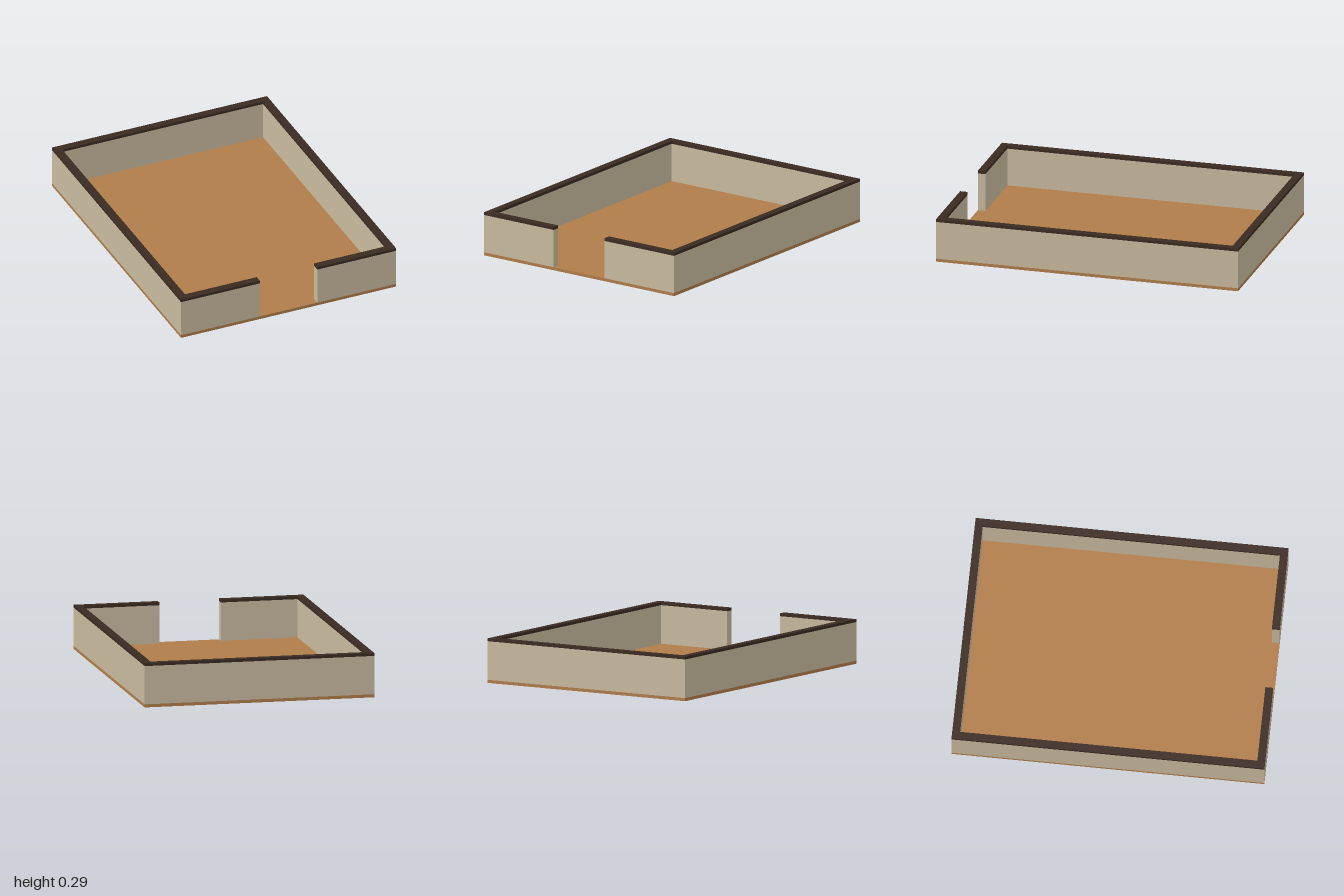
import * as THREE from 'three';

const W = 0.75, D = 1, T = 0.05, GAP = 0.2; // half width, half depth, wall thickness, half doorway
const FLOOR = 0.02, WALL = 0.268, TOP = 0.286; // heights of the layers

const material = (name, color) => {
  const m = new THREE.MeshStandardMaterial({ color });
  m.name = name;
  return m;
};

// Wall outline seen from above, open at the doorway, raised from y0 to y1
function wallRing(name, y0, y1, mat) {
  const right = [[GAP, D], [W, D], [W, -D]];
  const inner = [[W - T, -D + T], [W - T, D - T], [GAP, D - T]];
  const mirror = (pts) => pts.map(([x, z]) => [-x, z]).reverse();
  const outline = [...right, ...mirror(right), ...mirror(inner), ...inner];
  const shape = new THREE.Shape(outline.map(([x, z]) => new THREE.Vector2(x, -z)));
  const geo = new THREE.ExtrudeGeometry(shape, { depth: y1 - y0, bevelEnabled: false });
  geo.rotateX(-Math.PI / 2).translate(0, y0, 0);
  const mesh = new THREE.Mesh(geo, mat);
  mesh.name = name;
  return mesh;
}

export function createModel() {
  const group = new THREE.Group();
  group.name = 'walledRoom';

  // Floor slab under the whole room
  const floor = new THREE.Mesh(
    new THREE.BoxGeometry(2 * W, FLOOR, 2 * D).translate(0, FLOOR / 2, 0),
    material('wood floor', 0xb17d4a));
  floor.name = 'floor';

  // Walls and the dark trim on top of them
  group.add(
    floor,
    wallRing('walls', FLOOR, WALL, material('beige plaster', 0xc9ba9f)),
    wallRing('wallCap', WALL, TOP, material('dark trim', 0x3b2b22)));
  return group;
}
